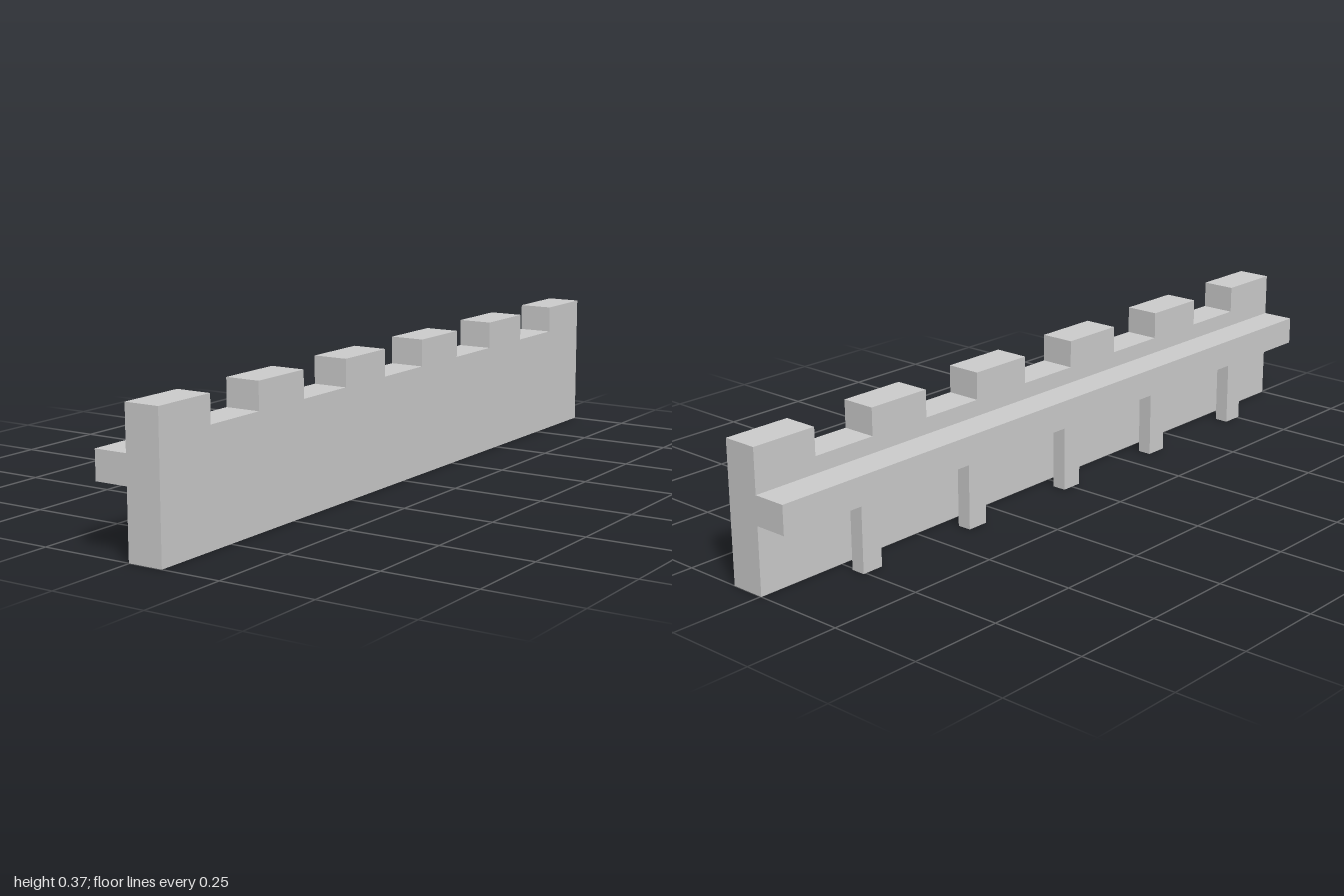
import * as THREE from 'three';

const LENGTH = 2;
const SEGMENTS = 11; // alternating merlons and gaps
const STEP = LENGTH / SEGMENTS;
const WALL_TOP = 0.365, GAP_FLOOR = 0.293;
const WALL_INNER = -0.002, OUTER = 0.092;
const WALK_BOTTOM = 0.175, WALK_TOP = 0.25;

const material = new THREE.MeshStandardMaterial({ color: 0xcccccc, flatShading: true });

// Box given by its minimum and maximum corners
function box(name, min, max) {
  const size = max.map((v, i) => v - min[i]);
  const mesh = new THREE.Mesh(new THREE.BoxGeometry(...size), material);
  mesh.position.set(...min.map((v, i) => (v + max[i]) / 2));
  mesh.name = name;
  return mesh;
}

// Wall with a crenellated top, drawn along its length and extruded through its thickness
function createWall() {
  const shape = new THREE.Shape();
  shape.moveTo(-LENGTH / 2, 0);
  shape.lineTo(LENGTH / 2, 0);
  for (let i = SEGMENTS - 1; i >= 0; i--) {
    const y = i % 2 === 0 ? WALL_TOP : GAP_FLOOR;
    const start = -LENGTH / 2 + i * STEP;
    shape.lineTo(start + STEP, y);
    shape.lineTo(start, y);
  }
  shape.closePath();
  const geometry = new THREE.ExtrudeGeometry(shape, { depth: OUTER - WALL_INNER, bevelEnabled: false });
  geometry.rotateY(-Math.PI / 2).translate(OUTER, 0, 0);
  const wall = new THREE.Mesh(geometry, material);
  wall.name = 'crenellatedWall';
  return wall;
}

export function createModel() {
  const model = new THREE.Group();
  model.name = 'battlementWall';
  model.add(createWall());

  // Walkway along the inner face
  model.add(box('walkway', [-OUTER, WALK_BOTTOM, -LENGTH / 2], [WALL_INNER, WALK_TOP, LENGTH / 2]));

  // Support posts, one below each gap
  const posts = new THREE.Group();
  posts.name = 'supportPosts';
  for (let i = -2; i <= 2; i++) {
    const z = i * 2 * STEP;
    posts.add(box('supportPost', [-0.085, 0, z - 0.03], [-0.047, WALK_BOTTOM, z + 0.03]));
  }
  model.add(posts);
  return model;
}
